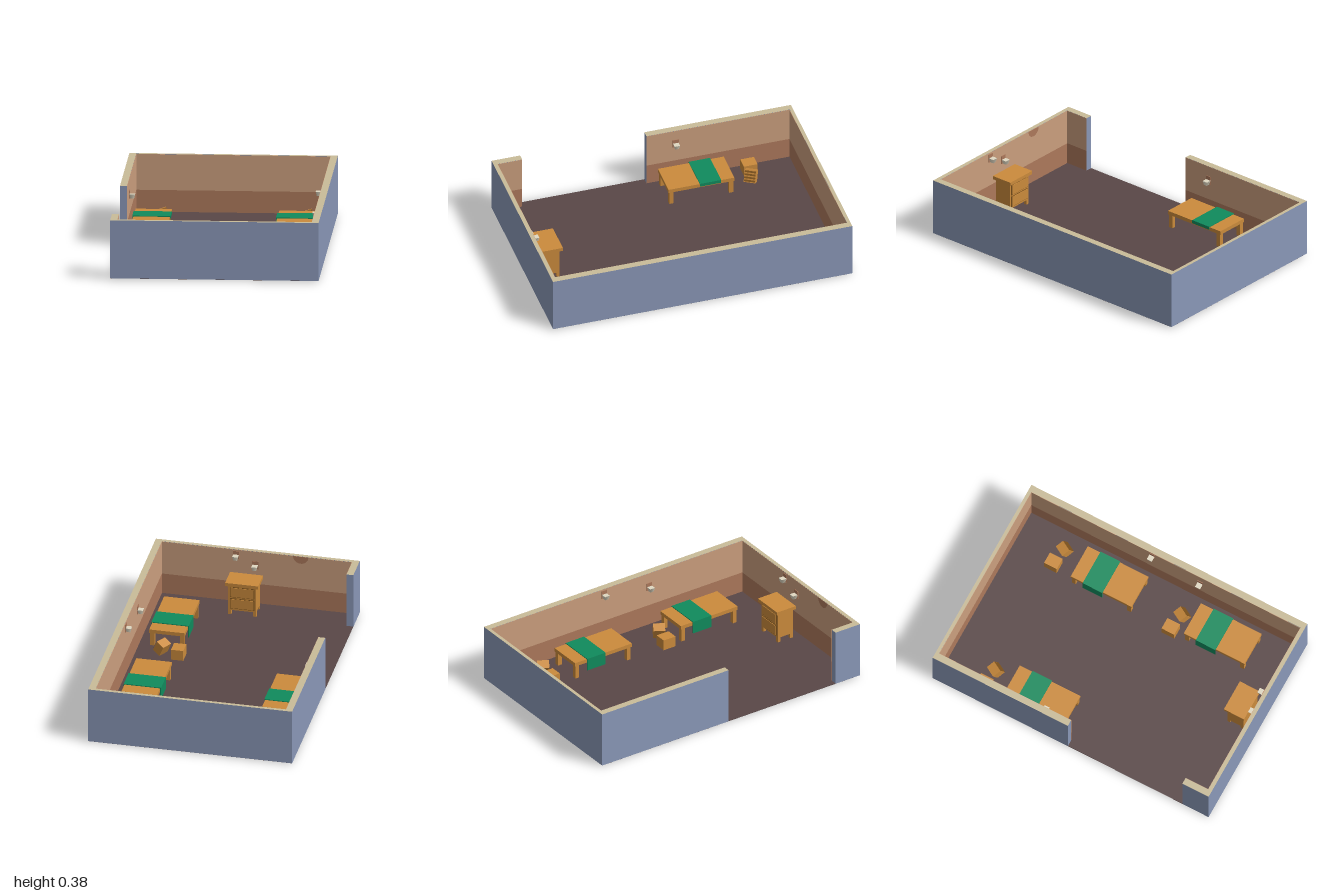
import * as THREE from 'three';

const mat = (name, color) => {
  const m = new THREE.MeshStandardMaterial({ color });
  m.name = name;
  return m;
};

export function createModel() {
  const outer = mat('outer wall blue', 0x8a98b8);
  const trim = mat('wall top cream', 0xc9bc99);
  const upper = mat('upper wall tan', 0xcb9f7e);
  const lower = mat('lower wall brown', 0xad795c);
  const floorMat = mat('floor brown', 0x594747);
  const wood = mat('wood orange', 0xcb8b3c);
  const darkWood = mat('dark wood', 0x86581f);
  const green = mat('cloth green', 0x108b5d);
  const white = mat('sconce ivory', 0xe0d8c2);

  const room = new THREE.Group();
  room.name = 'room';

  // Box given by its minimum and maximum corners
  function block(parent, name, m, [x0, y0, z0], [x1, y1, z1]) {
    const mesh = new THREE.Mesh(new THREE.BoxGeometry(x1 - x0, y1 - y0, z1 - z0), m);
    mesh.position.set((x0 + x1) / 2, (y0 + y1) / 2, (z0 + z1) / 2);
    mesh.name = name;
    parent.add(mesh);
    return mesh;
  }
  function group(name, x, y, z) {
    const g = new THREE.Group();
    g.name = name;
    g.position.set(x, y, z);
    room.add(g);
    return g;
  }

  const W = 0.667, H = 0.385, B = 0.15, IX = 0.623, IB = -0.978, IF = 0.974, T = 0.002;

  // Floor
  block(room, 'floor', floorMat, [-W + 0.001, 0.005, -0.999], [W - 0.001, 0.008, 0.999]);

  // Walls: blue outside, cream on top
  const wallMats = [outer, outer, trim, outer, outer, outer];
  const wall = (name, x0, z0, x1, z1) => block(room, name, wallMats, [x0, 0.006, z0], [x1, H, z1]);
  wall('backWall', -W, -1, W, IB);
  wall('frontWall', -W, IF, W, 1);
  wall('leftWall', IX, IB, W, IF);
  wall('rightWallBack', -W, IB, -IX, -0.02);
  wall('rightWallFront', -W, 0.81, -IX, IF);

  // Two-tone paint on the inner faces
  function paint(name, x0, z0, x1, z1) {
    block(room, name + 'Lower', lower, [x0, 0.008, z0], [x1, B, z1]);
    block(room, name + 'Upper', upper, [x0, B, z0], [x1, H - 0.001, z1]);
  }
  paint('backPaint', -IX, IB, IX, IB + T);
  paint('frontPaint', -IX, IF - T, IX, IF);
  paint('leftPaint', IX - T, IB, IX, IF);
  paint('rightPaintBack', -IX, IB, -IX + T, -0.02);
  paint('rightPaintFront', -IX, 0.81, -IX + T, IF);

  // Half disc hanging from the top of the front wall
  const disc = new THREE.Mesh(new THREE.CircleGeometry(0.05, 20, 0, Math.PI), lower);
  disc.name = 'wallHalfDisc';
  disc.rotation.set(Math.PI, 0, 0);
  disc.position.set(-0.287, H - 0.001, IF - T - 0.002);
  room.add(disc);

  // Tables with a cloth draped over one side
  for (const [x, z] of [[-0.4825, -0.31], [0.4375, -0.31], [0.4375, 0.51]]) {
    const t = group('table', x, 0, z);
    block(t, 'tableTop', wood, [-0.116, 0.1, -0.22], [0.116, 0.125, 0.22]);
    for (const sx of [-1, 1]) for (const sz of [-1, 1]) {
      const cx = sx * 0.098, cz = sz * 0.2;
      block(t, 'tableLeg', wood, [cx - 0.014, 0, cz - 0.014], [cx + 0.014, 0.1, cz + 0.014]);
    }
    block(t, 'clothTop', green, [-0.123, 0.125, -0.13], [0.121, 0.13, 0.012]);
    block(t, 'clothDrape', green, [-0.123, 0.045, -0.13], [-0.117, 0.125, 0.012]);
    block(t, 'clothEdge', green, [0.117, 0.108, -0.13], [0.121, 0.125, 0.012]);
  }

  // Small box and a tipped, slatted crate beside each table
  for (const [x, z] of [[-0.555, -0.685], [0.376, -0.685], [0.338, 0.187]]) {
    const g = group('boxes', x, 0, z);
    block(g, 'smallBox', wood, [-0.04, 0.002, -0.046], [0.04, 0.08, 0.046]);
    const crate = new THREE.Group();
    crate.name = 'tippedCrate';
    crate.position.set(0.113, 0.056, 0.022);
    crate.rotation.set(0, -Math.PI / 6, 0.44);
    g.add(crate);
    block(crate, 'crateBody', wood, [-0.03, -0.04, -0.038], [0.03, 0.04, 0.038]);
    for (let i = 0; i < 4; i++) {
      const y = -0.034 + i * 0.02;
      block(crate, 'crateSlat', darkWood, [0.03, y, -0.036], [0.033, y + 0.011, 0.036]);
    }
  }

  // Chest of drawers, facing the back of the room
  const chest = group('chest', 0.0575, 0, 0.853);
  block(chest, 'chestTop', wood, [-0.108, 0.22, -0.073], [0.108, 0.243, 0.073]);
  block(chest, 'chestBody', wood, [-0.092, 0.04, -0.056], [0.092, 0.22, 0.062]);
  for (const sx of [-1, 1]) for (const z of [-0.046, 0.05]) {
    block(chest, 'chestFoot', wood, [sx * 0.082 - 0.01, 0, z - 0.01], [sx * 0.082 + 0.01, 0.04, z + 0.01]);
  }
  for (const y of [0.052, 0.135]) {
    block(chest, 'drawerGap', darkWood, [-0.08, y, -0.058], [0.08, y + 0.075, -0.056]);
    block(chest, 'drawerFront', wood, [-0.075, y + 0.005, -0.062], [0.075, y + 0.07, -0.058]);
  }

  // Wall sconces: brown back plate with a flared ivory cup
  const cupShape = new THREE.CylinderGeometry(0.026, 0.017, 0.028, 4);
  cupShape.rotateY(Math.PI / 4);
  const spots = [
    [0.01, 0.28, IF - T, Math.PI], [0.135, 0.34, IF - T, Math.PI],
    [IX - T, 0.34, -0.1, -Math.PI / 2], [IX - T, 0.28, 0.25, -Math.PI / 2],
    [-IX + T, 0.28, -0.215, Math.PI / 2],
  ];
  for (const [x, y, z, turn] of spots) {
    const s = group('sconce', x, y, z);
    s.rotation.y = turn;
    block(s, 'sconcePlate', lower, [-0.02, -0.02, 0], [0.02, 0.035, 0.004]);
    const cup = new THREE.Mesh(cupShape, white);
    cup.name = 'sconceCup';
    cup.position.set(0, -0.004, 0.021);
    s.add(cup);
  }
  return room;
}
